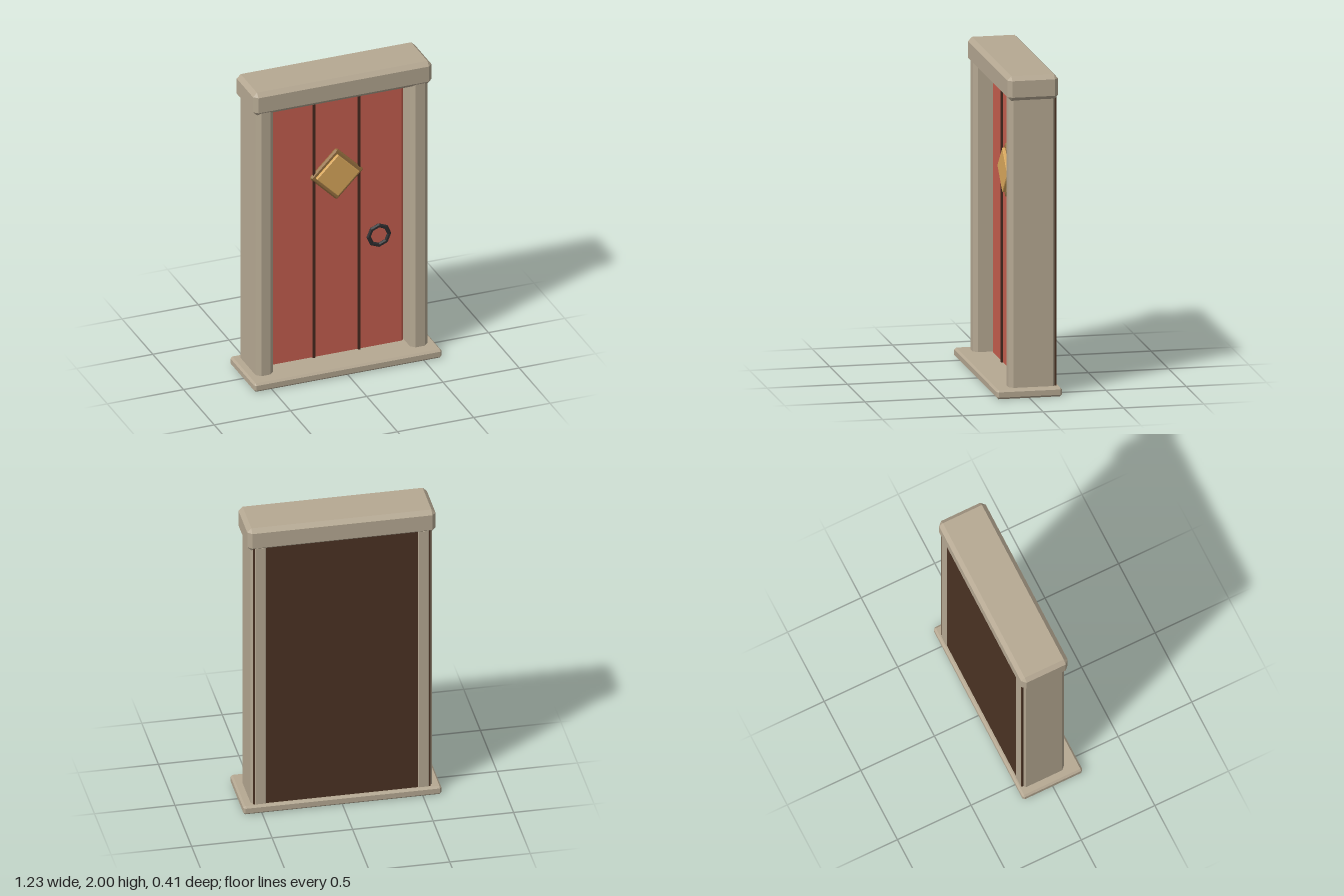
import * as THREE from 'three';
import { ConvexGeometry } from 'three/addons/geometries/ConvexGeometry.js';

const material = (color) => new THREE.MeshStandardMaterial({ color, flatShading: true });

// Box spanning min..max with every edge cut at 45 degrees by c
function chamferBox([x0, y0, z0], [x1, y1, z1], c) {
  const half = [(x1 - x0) / 2, (y1 - y0) / 2, (z1 - z0) / 2];
  const points = [];
  for (const sx of [-1, 1]) for (const sy of [-1, 1]) for (const sz of [-1, 1]) {
    for (let axis = 0; axis < 3; axis++) {
      const h = half.map((v, i) => (i === axis ? v : v - c));
      points.push(new THREE.Vector3(sx * h[0], sy * h[1], sz * h[2]));
    }
  }
  const geometry = new ConvexGeometry(points);
  geometry.translate((x0 + x1) / 2, (y0 + y1) / 2, (z0 + z1) / 2);
  return geometry;
}

export function createModel() {
  const model = new THREE.Group();
  model.name = 'door';

  const stone = material(0xb5a892);
  const red = material(0xc75f4f);
  const darkWood = material(0x4a3223);
  const groove = material(0x46291f);
  const iron = material(0x2b2b2d);
  const brass = material(0x97703f);
  const glass = material(0xdba95c);

  const add = (name, geometry, mat) => {
    const mesh = new THREE.Mesh(geometry, mat);
    mesh.name = name;
    model.add(mesh);
    return mesh;
  };

  // Stone surround
  add('sill', chamferBox([-0.615, 0, -0.203], [0.615, 0.057, 0.203], 0.012), stone);
  add('lintel', chamferBox([-0.585, 1.845, -0.19], [0.585, 2, 0.127], 0.026), stone);
  for (const side of [-1, 1]) {
    const x = side * 0.506;
    add(side > 0 ? 'leftPost' : 'rightPost',
      chamferBox([x - 0.057, 0.01, -0.184], [x + 0.057, 1.89, 0.115], 0.027), stone);
  }

  // Door leaf and the panel closing the back
  add('doorLeaf', chamferBox([-0.445, 0.01, -0.1], [0.445, 1.842, 0], 0.014), red);
  const back = new THREE.BoxGeometry(1.1, 1.86, 0.08);
  back.translate(0, 0.94, -0.14);
  add('backPanel', back, darkWood);

  // Plank seams
  for (const side of [-1, 1]) {
    const seam = new THREE.BoxGeometry(0.015, 1.76, 0.02);
    seam.translate(side * 0.148, 0.93, 0.002);
    add('plankSeam', seam, groove);
  }

  // Diamond window: brass frame with a raised pane
  const diamond = (name, size, z0, z1, c, mat) => {
    const mesh = add(name, chamferBox([-size / 2, -size / 2, z0], [size / 2, size / 2, z1], c), mat);
    mesh.position.y = 1.29;
    mesh.rotation.z = Math.PI / 4;
  };
  diamond('windowFrame', 0.25, -0.02, 0.018, 0.01, brass);
  diamond('windowPane', 0.2, -0.01, 0.036, 0.004, glass);

  // Ring handle
  const ring = add('ringHandle', new THREE.TorusGeometry(0.067, 0.014, 6, 8), iron);
  ring.position.set(0.267, 0.83, 0.035);

  return model;
}
